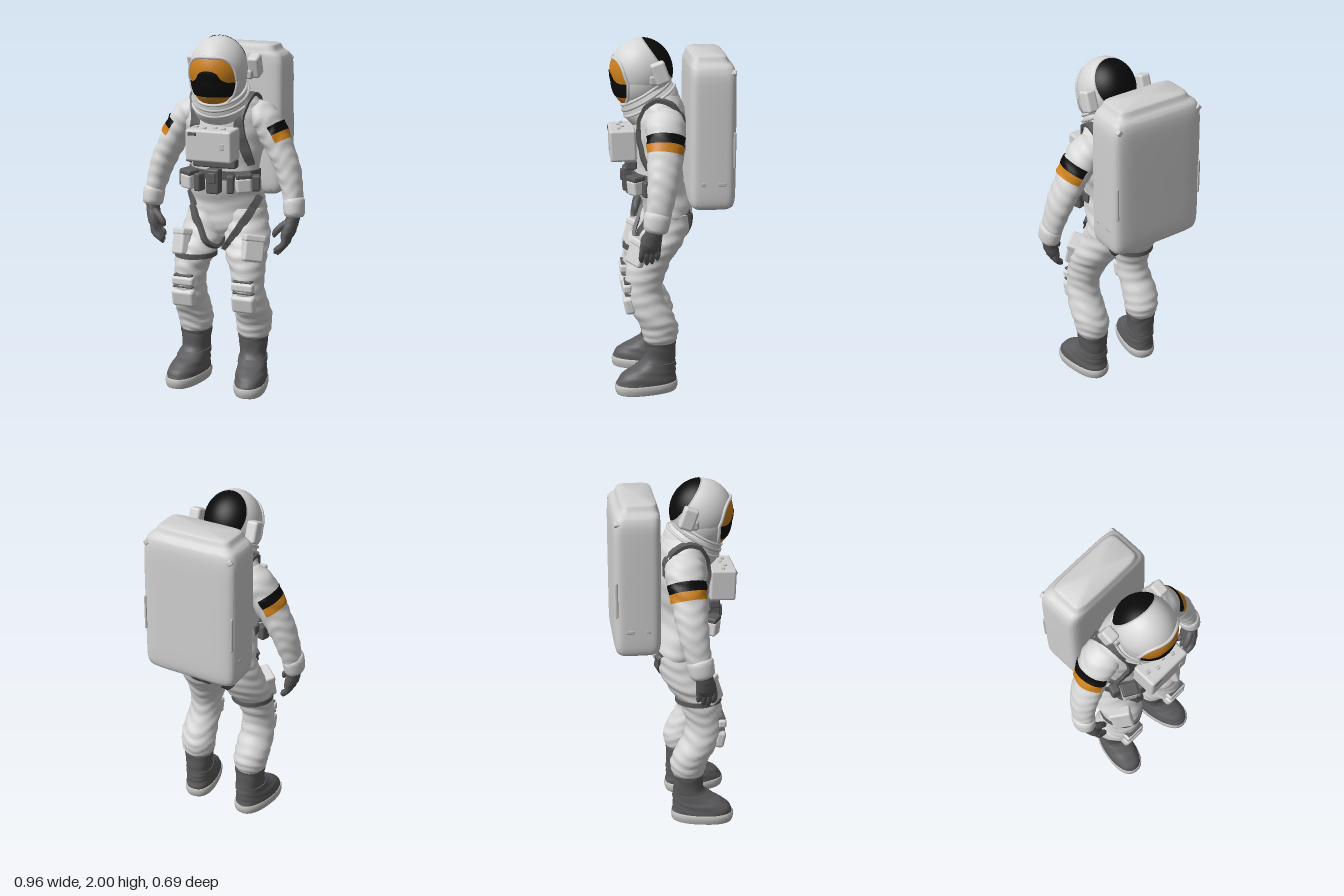
import * as THREE from 'three';
import { toCreasedNormals } from 'three/addons/utils/BufferGeometryUtils.js';
import { RoundedBoxGeometry } from 'three/addons/geometries/RoundedBoxGeometry.js';

const V = (x, y, z) => new THREE.Vector3(x, y, z);
const flat = true;

function material(name, color) {
  const m = new THREE.MeshStandardMaterial({ color });
  m.name = name;
  return m;
}

// Surface through rows of points; wrap closes each row, caps closes both ends
function skin(rows, wrap = true, caps = true) {
  const n = rows[0].length, pos = [], idx = [];
  rows.forEach(r => r.forEach(p => pos.push(p.x, p.y, p.z)));
  for (let i = 0; i < rows.length - 1; i++) {
    for (let j = 0; j < (wrap ? n : n - 1); j++) {
      const k = (j + 1) % n, a = i * n + j, b = i * n + k;
      idx.push(a, b, a + n, b, b + n, a + n);
    }
  }
  if (caps) {
    [0, rows.length - 1].forEach((r, e) => {
      const c = V(0, 0, 0);
      rows[r].forEach(p => c.addScaledVector(p, 1 / n));
      const ci = pos.length / 3;
      pos.push(c.x, c.y, c.z);
      for (let j = 0; j < n; j++) {
        const a = r * n + j, b = r * n + (j + 1) % n;
        if (e) idx.push(ci, a, b); else idx.push(ci, b, a);
      }
    });
  }
  const g = new THREE.BufferGeometry();
  g.setAttribute('position', new THREE.Float32BufferAttribute(pos, 3));
  g.setIndex(idx);
  return toCreasedNormals(g, 0.8);
}

// Loft from top to bottom through rings [x, y, z, rx, rz], with cloth folds
function loft(rings, o = {}) {
  const { n = 28, steps = 44, fold = 0, k = 60, phase = 0, a0 = 0, a1 = Math.PI * 2, t0 = 0, t1 = 1, grow = 0, sq = 1 } = o;
  const path = new THREE.CatmullRomCurve3(rings.map(r => V(r[0], r[1], r[2])));
  const size = new THREE.CatmullRomCurve3(rings.map(r => V(r[3], r[4], 0)), false, 'catmullrom');
  const open = a1 - a0 < 6.28, rows = [];
  const bend = v => Math.sign(v) * Math.abs(v) ** sq;
  for (let i = 0; i <= steps; i++) {
    const t = t0 + (t1 - t0) * i / steps, c = path.getPoint(t), r = size.getPoint(t);
    const d = o.flat ? V(0, -1, 0) : path.getTangent(t);
    const u = V(1, 0, 0).addScaledVector(d, -d.x).normalize(), w = d.clone().cross(u);
    const row = [];
    for (let j = 0; j < (open ? n + 1 : n); j++) {
      const a = a0 + (a1 - a0) * j / n;
      const f = 1 + fold * (Math.sin(k * t + 2.2 * Math.sin(2 * a + phase) + Math.sin(3 * a - phase)) + 0.6 * Math.sin(k * 0.57 * t - 3 * Math.cos(a + phase)));
      row.push(c.clone().addScaledVector(u, bend(Math.cos(a)) * (r.x * f + grow)).addScaledVector(w, bend(Math.sin(a)) * (r.y * f + grow)));
    }
    rows.push(row);
  }
  return skin(rows, !open, !open);
}

// Flat webbing laid on the target meshes, seen from a centre point inside them
function strap(points, centre, width, targets, closed = false) {
  const ray = new THREE.Raycaster(), curve = new THREE.CatmullRomCurve3(points, closed), N = 48;
  const laid = curve.getPoints(N).map(p => {
    const out = p.clone().sub(centre).normalize();
    ray.set(p.clone().addScaledVector(out, 0.12), out.clone().negate());
    const hit = ray.intersectObjects(targets)[0];
    return hit ? hit.point : p;
  });
  const rows = laid.map((p, i) => {
    const last = laid.length - 1;
    const before = laid[closed && i === 0 ? last - 1 : Math.max(i - 1, 0)];
    const after = laid[closed && i === last ? 1 : Math.min(i + 1, last)];
    const t = after.clone().sub(before).normalize();
    const out = p.clone().sub(centre);
    out.addScaledVector(t, -out.dot(t)).normalize();
    const side = t.clone().cross(out);
    return [[1, 1], [-1, 1], [-1, -1], [1, -1]].map(([a, b]) =>
      p.clone().addScaledVector(out, a * 0.01).addScaledVector(side, b * width / 2));
  });
  return skin(rows, true, !closed);
}

// Points on a level circle, from angle a0 to a1
const arc = (x, y, z, r, a0, a1) => [...Array(16).keys()].map(i => {
  const a = a0 + (a1 - a0) * i / 16;
  return V(x + r * Math.cos(a), y, z + r * Math.sin(a));
});

export function createModel() {
  const root = new THREE.Group();
  root.name = 'astronaut';
  const suit = material('suitWhite', 0xd6d6d6), shell = material('shellGrey', 0xd0d0d0);
  const dark = material('darkGrey', 0x5b5b5d), gold = material('visorGold', 0xcc801c);
  const black = material('black', 0x0a0a0a), sole = material('soleGrey', 0xbfbfbd);
  gold.side = black.side = THREE.DoubleSide;

  const add = (name, geo, mat) => {
    const m = new THREE.Mesh(geo, mat);
    m.name = name;
    root.add(m);
    return m;
  };
  const box = (name, [w, h, d], [x, y, z], mat, r = 0.012, rot = [0, 0, 0]) => {
    const m = add(name, new RoundedBoxGeometry(w, h, d, 3, r), mat);
    m.position.set(x, y, z);
    m.rotation.set(...rot);
    return m;
  };

  // Torso and pelvis
  const torso = add('torso', loft([[0, 1.74, 0.1, 0.1, 0.1], [0, 1.68, 0.07, 0.16, 0.12], [0, 1.62, 0.06, 0.215, 0.135],
    [0, 1.52, 0.06, 0.24, 0.15], [0, 1.4, 0.06, 0.225, 0.15], [0, 1.28, 0.07, 0.2, 0.14], [0, 1.18, 0.06, 0.205, 0.14],
    [0, 1.08, 0.02, 0.22, 0.14], [0, 1, 0.015, 0.22, 0.135], [0, 0.93, 0.03, 0.16, 0.12], [0, 0.87, 0.04, 0.08, 0.08]],
    { flat, n: 40, steps: 60, fold: 0.012, k: 70 }), suit);

  const arms = [], legs = [];
  for (const s of [1, -1]) {
    const out = s > 0 ? 0 : Math.PI;
    // Sleeves with a two-coloured band on the outside
    const arm = [[s * 0.15, 1.58, 0.045, 0.075, 0.1], [s * 0.215, 1.545, 0.045, 0.089, 0.108], [s * 0.272, 1.47, 0.05, 0.081, 0.1],
      [s * 0.328, 1.37, 0.06, 0.074, 0.092], [s * 0.37, 1.28, 0.07, 0.069, 0.085], [s * 0.4, 1.18, 0.085, 0.06, 0.075], [s * 0.42, 1.08, 0.105, 0.05, 0.064]];
    const cloth = { fold: 0.025, k: 56, phase: s };
    arms.push(add('sleeve', loft(arm, { ...cloth, steps: 54 }), suit));
    const band = (name, i0, i1, mat) => add(name, loft(arm, { ...cloth, t0: i0 / 6, t1: i1 / 6, a0: out - 1.35, a1: out + 1.35, steps: 8, grow: 0.006 }), mat);
    band('armbandUpper', 1.72, 2.2, black);
    band('armbandLower', 2.2, 2.6, gold);

    // Cuff, glove, fingers and thumb
    add('cuff', loft([[s * 0.415, 1.12, 0.1, 0.05, 0.064], [s * 0.418, 1.105, 0.103, 0.06, 0.073], [s * 0.425, 1.035, 0.115, 0.056, 0.068], [s * 0.426, 1.02, 0.118, 0.045, 0.055]], { steps: 12 }), suit);
    add('glove', loft([[s * 0.424, 1.04, 0.118, 0.038, 0.048], [s * 0.415, 0.99, 0.13, 0.037, 0.05], [s * 0.4, 0.94, 0.14, 0.037, 0.057], [s * 0.385, 0.9, 0.142, 0.027, 0.053]], { steps: 16, fold: 0.02, k: 30 }), dark);
    for (let f = 0; f < 4; f++) {
      const z = 0.1 + f * 0.028, drop = [0.03, 0.008, 0, 0.012][f];
      add('finger', loft([[s * 0.395, 0.925, z, 0.018, 0.017], [s * 0.385, 0.875, z + 0.004, 0.018, 0.016], [s * (0.365 - f * 0.006), 0.83 + drop, z + 0.004, 0.016, 0.015], [s * (0.355 - f * 0.006), 0.81 + drop, z + 0.002, 0.007, 0.007]], { n: 10, steps: 10 }), dark);
    }
    add('thumb', loft([[s * 0.405, 0.995, 0.15, 0.022, 0.022], [s * 0.365, 0.97, 0.168, 0.02, 0.02], [s * 0.335, 0.935, 0.175, 0.017, 0.017], [s * 0.328, 0.912, 0.175, 0.007, 0.007]], { n: 10, steps: 10 }), dark);

    // Trouser legs
    legs.push(add('trouserLeg', loft([[s * 0.115, 1.04, 0.015, 0.105, 0.125], [s * 0.122, 0.95, 0.035, 0.122, 0.13], [s * 0.14, 0.86, 0.08, 0.127, 0.132],
      [s * 0.15, 0.78, 0.128, 0.115, 0.124], [s * 0.168, 0.7, 0.152, 0.097, 0.112], [s * 0.175, 0.62, 0.165, 0.088, 0.106], [s * 0.18, 0.54, 0.152, 0.095, 0.11],
      [s * 0.185, 0.45, 0.106, 0.103, 0.112], [s * 0.18, 0.38, 0.076, 0.102, 0.106], [s * 0.178, 0.32, 0.073, 0.094, 0.098], [s * 0.178, 0.28, 0.073, 0.07, 0.075]],
      { flat, n: 32, steps: 80, fold: 0.022, k: 78, phase: s * 2 }), suit));

    // Boots and soles, toes turned out
    const turn = g => g.translate(0, 0, -0.07).rotateY(s * 0.19).translate(s * 0.175, 0, 0.07);
    add('boot', turn(loft([[0, 0.3, 0.073, 0.087, 0.09], [0, 0.27, 0.073, 0.083, 0.087], [0, 0.2, 0.075, 0.075, 0.088], [0, 0.16, 0.092, 0.076, 0.108],
      [0, 0.13, 0.122, 0.08, 0.138], [0, 0.1, 0.145, 0.086, 0.162], [0, 0.06, 0.155, 0.089, 0.175], [0, 0.03, 0.155, 0.086, 0.172]],
      { flat, fold: 0.012, k: 34, phase: s, sq: 0.85 })), dark);
    add('sole', turn(loft([[0, 0.056, 0.156, 0.09, 0.178], [0, 0.045, 0.156, 0.095, 0.183], [0, 0.015, 0.156, 0.093, 0.181], [0, 0, 0.156, 0.088, 0.174]], { flat, steps: 8, sq: 0.82 })), sole);
    add('bootStrap', turn(loft([[0, 0.175, 0.084, 0.081, 0.1], [0, 0.15, 0.102, 0.083, 0.122]], { flat, steps: 3, sq: 0.85 })), dark);

    // Thigh pocket and knee pads
    box('thighPocket', [0.12, 0.14, 0.06], [s * 0.214, 0.835, 0.198], suit, 0.015, [-0.3, s * 0.7, 0]);
    box('pocketFlap', [0.126, 0.04, 0.068], [s * 0.214, 0.893, 0.18], suit, 0.012, [-0.3, s * 0.7, 0]);
    box('upperKneePad', [0.13, 0.05, 0.05], [s * 0.178, 0.63, 0.26], suit, 0.015);
    box('kneePad', [0.135, 0.1, 0.06], [s * 0.18, 0.53, 0.248], suit, 0.02, [0.2, 0, 0]);
    box('kneeStrap', [0.11, 0.012, 0.05], [s * 0.178, 0.662, 0.252], dark, 0.005);
    box('kneeStrap', [0.12, 0.01, 0.05], [s * 0.18, 0.595, 0.25], dark, 0.005);
  }

  // Harness: shoulder straps, leg loops, belt and one thigh strap
  const body = [torso, ...arms, ...legs];
  for (const s of [1, -1]) {
    add('shoulderStrap', strap([V(s * 0.19, 1.25, 0.17), V(s * 0.17, 1.36, 0.21), V(s * 0.135, 1.47, 0.21), V(s * 0.125, 1.56, 0.19), V(s * 0.15, 1.65, 0.13), V(s * 0.16, 1.69, 0.05), V(s * 0.165, 1.62, -0.06), V(s * 0.17, 1.54, -0.1)],
      V(s * 0.13, 1.42, 0.05), 0.055, [torso, ...arms]), dark);
    add('legLoop', strap([V(s * 0.215, 1.12, 0.07), V(s * 0.185, 1.04, 0.13), V(s * 0.13, 0.955, 0.16), V(s * 0.078, 0.89, 0.15), V(s * 0.035, 0.855, 0.05), V(s * 0.075, 0.89, -0.06), V(s * 0.14, 0.96, -0.11), V(s * 0.18, 1.06, -0.11)],
      V(s * 0.11, 1.02, 0.02), 0.045, body), dark);
    // Belt pouches and buckles
    box('beltPouch', [0.085, 0.085, 0.07], [s * 0.16, 1.2, 0.205], suit, 0.014, [0.1, s * 0.5, 0]);
    box('pouchFlap', [0.09, 0.03, 0.075], [s * 0.16, 1.25, 0.205], dark, 0.01, [0.1, s * 0.5, 0]);
    box('beltBuckle', [0.04, 0.1, 0.06], [s * 0.092, 1.2, 0.225], dark, 0.01, [0, s * 0.3, 0]);
    box('sidePouch', [0.05, 0.09, 0.06], [s * 0.21, 1.2, 0.14], dark, 0.012, [0, s * 0.3, 0]);
  }
  add('belt', strap(arc(0, 1.24, 0.07, 0.2, -0.1, 3.45), V(0, 1.24, 0.07), 0.05, [torso]), dark);
  add('thighStrap', strap(arc(-0.152, 0.77, 0.12, 0.11, 0, Math.PI * 2), V(-0.152, 0.77, 0.12), 0.028, [legs[1]], true), dark);
  box('centrePouch', [0.075, 0.14, 0.07], [0, 1.215, 0.235], dark, 0.012);
  box('centreClasp', [0.045, 0.06, 0.02], [0, 1.235, 0.272], dark, 0.006);

  // Chest control unit
  box('chestUnit', [0.265, 0.175, 0.145], [0.005, 1.425, 0.27], shell, 0.014, [0.03, 0, 0]);
  box('chestUnitBase', [0.25, 0.05, 0.06], [0.005, 1.315, 0.225], dark, 0.01);
  box('chestUnitMount', [0.22, 0.13, 0.05], [0, 1.41, 0.195], suit, 0.012);
  box('chestDial', [0.026, 0.035, 0.008], [0.085, 1.425, 0.343], sole, 0.003);
  box('chestPort', [0.05, 0.018, 0.008], [-0.085, 1.488, 0.344], dark, 0.003);
  for (let i = 0; i < 4; i++) box('chestSwitch', [0.025, 0.014, 0.02], [-0.09 + i * 0.055, 1.513, 0.27 + 0.02 * (i % 2)], sole, 0.004);

  // Collar with tilted neck rings
  add('collar', loft([[0, 1.74, 0.16, 0.13, 0.13], [0, 1.69, 0.135, 0.148, 0.152], [0, 1.64, 0.108, 0.163, 0.165], [0, 1.57, 0.075, 0.17, 0.14]], { steps: 16 }), suit);
  [[1.712, 0.147, 0.147], [1.685, 0.132, 0.156], [1.655, 0.115, 0.163]].forEach(([y, z, r], i) => {
    const ring = add('neckRing', new THREE.TorusGeometry(r, 0.008, 8, 40), i === 1 ? sole : suit);
    ring.position.set(0, y, z);
    ring.rotation.x = -1.02;
  });

  // Helmet: upper shell, jaw and dark rear panel
  const dome = { c: V(0, 1.82, 0.16), r: V(0.157, 0.18, 0.172) }, jaw = { c: V(0, 1.77, 0.162), r: V(0.15, 0.17, 0.162) };
  const globe = (e, grow = 1, cap = Math.PI) => new THREE.SphereGeometry(grow, 40, 28, 0, Math.PI * 2, 0, cap)
    .rotateX(-0.92).scale(e.r.x, e.r.y, e.r.z).translate(e.c.x, e.c.y, e.c.z);
  add('helmetShell', globe(dome), suit);
  add('helmetJaw', globe(jaw), suit);
  add('rearRim', globe(dome, 1.008, 0.93), sole);
  add('rearPanel', globe(dome, 1.018, 0.88), black);

  // Visor and its dark reflection follow the front of the helmet
  const front = (x, y, lift) => V(x, y, lift + Math.max(...[dome, jaw].map(e =>
    e.c.z + e.r.z * Math.sqrt(Math.max(0, 1 - ((x - e.c.x) / e.r.x) ** 2 - ((y - e.c.y) / e.r.y) ** 2)))));
  const mirrored = half => [...half, ...half.slice(1, -1).reverse().map(([x, y]) => [-x, y])];
  const outline = half => new THREE.CatmullRomCurve3(mirrored(half).map(([x, y]) => V(x, y, 0)), true).getPoints(64).slice(0, 64);
  const patch = (edge, cy, lift) => {
    const rows = [];
    for (let i = 0; i < 10; i++) rows.push(edge.map(p => front(p.x * (1 - i / 10), cy + (p.y - cy) * (1 - i / 10), lift)));
    return skin(rows);
  };
  const visorEdge = outline([[0, 1.635], [0.06, 1.643], [0.113, 1.69], [0.134, 1.77], [0.122, 1.85], [0.085, 1.889], [0, 1.899]]);
  const darkEdge = outline([[0, 1.685], [0.06, 1.685], [0.11, 1.69], [0.121, 1.71], [0.131, 1.763], [0.1, 1.766], [0.072, 1.782], [0.048, 1.815], [0, 1.828]]);
  add('visor', patch(visorEdge, 1.77, 0.003), gold);
  add('visorReflection', patch(darkEdge, 1.735, 0.006), black);
  add('visorRim', new THREE.TubeGeometry(new THREE.CatmullRomCurve3(visorEdge.map(p => front(p.x, p.y, 0.004)), true), 96, 0.009, 8, true), suit);

  // Life-support pack, sloping in towards the top
  add('pack', loft([[0, 1.932, -0.197, 0.195, 0.08], [0, 1.925, -0.197, 0.212, 0.094], [0, 1.895, -0.199, 0.228, 0.106], [0, 1.872, -0.207, 0.258, 0.121],
    [0, 1.82, -0.212, 0.276, 0.129], [0, 1.65, -0.213, 0.28, 0.131], [0, 1.4, -0.213, 0.28, 0.131], [0, 1.15, -0.213, 0.279, 0.13],
    [0, 1.1, -0.213, 0.268, 0.12], [0, 1.082, -0.213, 0.24, 0.1]], { flat, n: 64, steps: 36, sq: 0.28 }), shell);
  for (const s of [1, -1]) {
    box('helmetLamp', [0.065, 0.12, 0.08], [s * 0.176, 1.835, 0.068], suit, 0.015, [0.35, 0, 0]);
    box('lampArm', [0.05, 0.05, 0.06], [s * 0.15, 1.79, 0.095], sole, 0.012);
    box('packCorner', [0.03, 0.03, 0.03], [s * 0.25, 1.84, -0.32], shell, 0.008, [0, 0, s * 0.7]);
    box('packHandle', [0.014, 0.2, 0.016], [s * 0.265, 1.42, -0.328], sole, 0.006);
    box('packPort', [0.01, 0.02, 0.045], [s * 0.277, 1.235, -0.26], sole, 0.004);
    box('packPort', [0.01, 0.02, 0.025], [s * 0.277, 1.235, -0.16], sole, 0.004);
  }
  return root;
}
